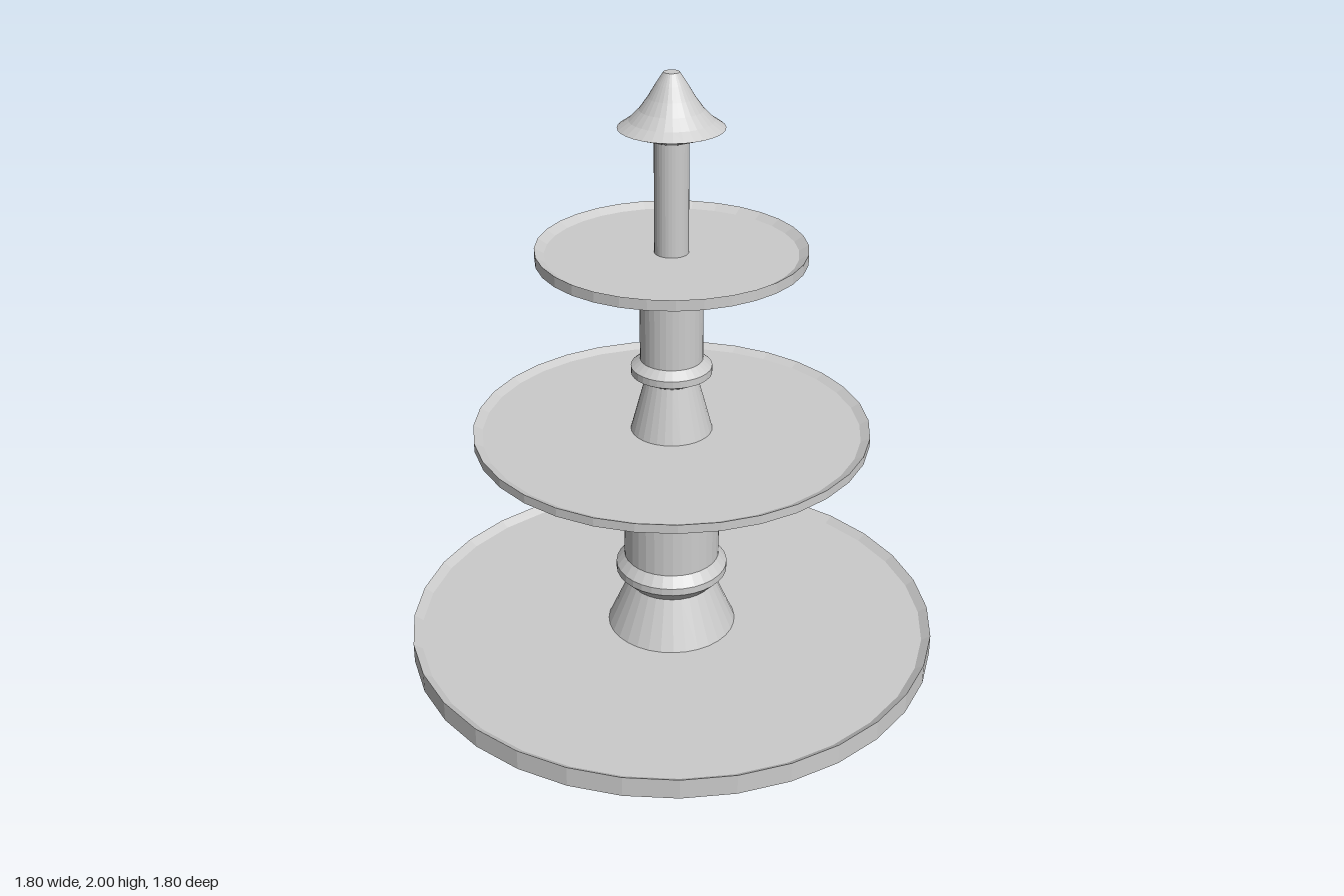
import * as THREE from 'three';

const SIDES = 32;

export function createModel() {
  const model = new THREE.Group();
  const material = new THREE.MeshStandardMaterial({
    color: 0xcccccc, flatShading: true, side: THREE.DoubleSide,
  });

  // Turned part from a profile of [radius, height] points, bottom to top
  function turned(name, profile) {
    const points = profile.map(([r, y]) => new THREE.Vector2(r, y));
    const mesh = new THREE.Mesh(new THREE.LatheGeometry(points, SIDES), material);
    mesh.name = name;
    model.add(mesh);
  }

  // Flat tray with a vertical outer edge and a rim sloping in to the floor
  function tray(name, radius, bottom, floor, top) {
    turned(name, [[0, bottom], [radius, bottom], [radius, top], [radius - 0.03, floor], [0, floor]]);
  }

  // Base tray: raised floor, hollow underneath and open into the foot
  turned('baseTray', [[0.9, 0], [0.9, 0.07], [0.87, 0.05], [0.22, 0.05]]);

  // Lower stem: flared foot, collar ring and column
  turned('lowerStem', [
    [0.22, 0.05], [0.147, 0.215], [0.19, 0.26], [0.19, 0.285], [0.162, 0.32], [0.162, 0.787],
  ]);
  tray('middleTray', 0.655, 0.785, 0.8, 0.815);

  // Upper stem: the same shape, slimmer
  turned('upperStem', [
    [0.135, 0.8], [0.087, 0.98], [0.133, 1.006], [0.133, 1.03], [0.103, 1.055], [0.103, 1.407],
  ]);
  tray('topTray', 0.433, 1.405, 1.422, 1.44);

  // Thin pole and flared finial
  turned('pole', [[0.055, 1.422], [0.055, 1.79]]);
  turned('finial', [
    [0, 1.787], [0.055, 1.787], [0.167, 1.828], [0.132, 1.852], [0.1, 1.885],
    [0.073, 1.923], [0.048, 1.965], [0.025, 2], [0, 2],
  ]);

  return model;
}
